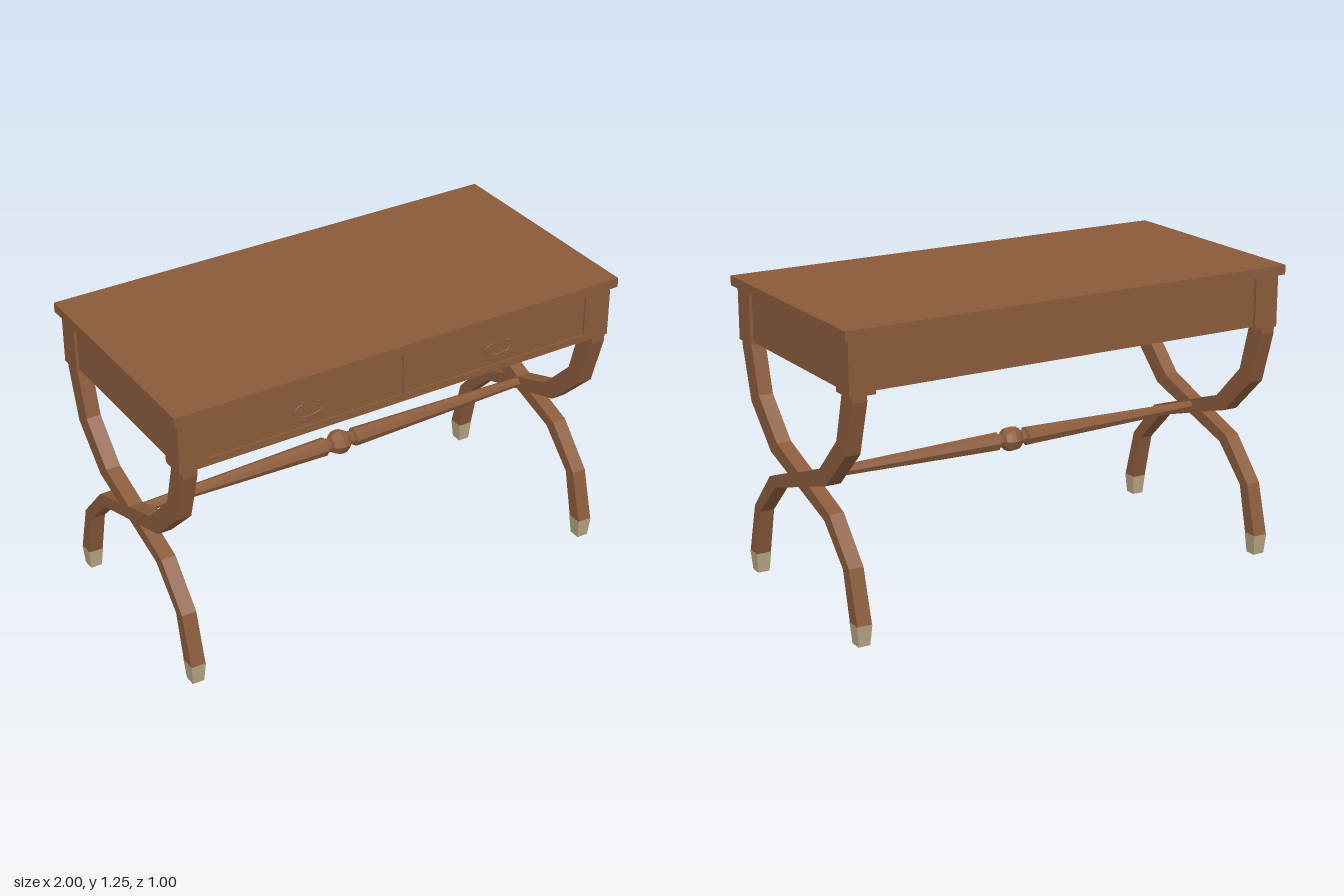
import * as THREE from 'three';

const wood = new THREE.MeshStandardMaterial({ color: 0x8a5a3a, flatShading: true });
const brass = new THREE.MeshStandardMaterial({ color: 0xb5a481, flatShading: true });

export function createModel() {
  const model = new THREE.Group();
  model.name = 'writingTable';

  const add = (name, geometry, material = wood, parent = model) => {
    const mesh = new THREE.Mesh(geometry, material);
    mesh.name = name;
    parent.add(mesh);
    return mesh;
  };
  // Box given by its low and high limits on each axis
  const box = (name, x0, x1, y0, y1, z0, z1) =>
    add(name, new THREE.BoxGeometry(x1 - x0, y1 - y0, z1 - z0))
      .position.set((x0 + x1) / 2, (y0 + y1) / 2, (z0 + z1) / 2);
  const extrude = (shape, depth) =>
    new THREE.ExtrudeGeometry(shape, { depth, bevelEnabled: false, curveSegments: 3 });
  const roundedRect = (path, x0, x1, y0, y1, r) => {
    path.moveTo(x0 + r, y0);
    path.lineTo(x1 - r, y0);
    path.quadraticCurveTo(x1, y0, x1, y0 + r);
    path.lineTo(x1, y1 - r);
    path.quadraticCurveTo(x1, y1, x1 - r, y1);
    path.lineTo(x0 + r, y1);
    path.quadraticCurveTo(x0, y1, x0, y1 - r);
    path.lineTo(x0, y0 + r);
    path.quadraticCurveTo(x0, y0, x0 + r, y0);
    return path;
  };

  // Top and case with recessed side and back panels
  box('tableTop', -1, 1, 1.21, 1.25, -0.5, 0.5);
  box('case', -0.967, 0.967, 1.0, 1.21, -0.467, 0.464);
  for (const s of [-1, 1]) {
    const x0 = s < 0 ? -0.98 : 0.87;
    box('frontPost', x0, x0 + 0.11, 0.99, 1.21, 0.375, 0.462);
    box('backPost', x0, x0 + 0.11, 0.99, 1.21, -0.48, -0.375);
  }

  // Front frame with two drawer openings
  const frame = new THREE.Shape([
    new THREE.Vector2(-0.98, 0.99), new THREE.Vector2(0.98, 0.99),
    new THREE.Vector2(0.98, 1.21), new THREE.Vector2(-0.98, 1.21),
  ]);
  const openings = [[-0.86, -0.006], [0.006, 0.86]];
  for (const [a, b] of openings)
    frame.holes.push(roundedRect(new THREE.Path(), a, b, 1.02, 1.196, 0.008));
  add('frontFrame', extrude(frame, 0.02)).position.z = 0.46;

  // Drawer fronts and drop handles
  for (const [a, b] of openings) {
    const front = roundedRect(new THREE.Shape(), a + 0.003, b - 0.003, 1.023, 1.193, 0.007);
    add('drawerFront', extrude(front, 0.015)).position.z = 0.46;

    const handle = new THREE.Group();
    handle.name = 'drawerHandle';
    handle.position.set((a + b) / 2, 1.097, 0.484);
    model.add(handle);
    const half = [[0.027, 0.033], [0.03, 0.024], [0.045, 0.022], [0.061, 0.005], [0.05, -0.018], [0.025, -0.028]];
    const points = [
      ...half.map(([x, y]) => new THREE.Vector3(-x, y, 0)),
      new THREE.Vector3(0, -0.03, 0),
      ...half.slice().reverse().map(([x, y]) => new THREE.Vector3(x, y, 0)),
    ];
    add('bail', new THREE.TubeGeometry(new THREE.CatmullRomCurve3(points), 36, 0.0035, 6), wood, handle);
    for (const s of [-1, 1]) {
      const pin = add('pin', new THREE.CylinderGeometry(0.004, 0.004, 0.014, 6), wood, handle);
      pin.rotation.x = Math.PI / 2;
      pin.position.set(s * 0.028, 0.026, -0.005);
    }
  }

  // Curved legs crossing at each end, outlined in (z, y)
  const outline = [
    [0.48, 0.99], [0.48, 0.965], [0.415, 0.745], [0.245, 0.58], [-0.22, 0.434], [-0.37, 0.285], [-0.417, 0.085],
    [-0.48, 0.085], [-0.42, 0.3], [-0.265, 0.47], [0.187, 0.63], [0.342, 0.787], [0.397, 0.99],
  ];
  const thickness = 0.062;
  for (const sx of [-1, 1]) {
    for (const sz of [-1, 1]) {
      const shape = new THREE.Shape(outline.map(([z, y]) => new THREE.Vector2(-z * sz, y)));
      const leg = add('crossedLeg', extrude(shape, thickness));
      leg.rotation.y = Math.PI / 2;
      leg.position.x = sx * 0.937 - thickness / 2;

      // Tapered metal foot
      const foot = new THREE.BoxGeometry(0.064, 0.085, 0.065);
      const p = foot.attributes.position;
      for (let i = 0; i < p.count; i++)
        if (p.getY(i) < 0) p.setXYZ(i, p.getX(i) * 0.78, p.getY(i), p.getZ(i) * 0.78);
      add('foot', foot, brass).position.set(sx * 0.937, 0.0425, sz * 0.449);
    }
  }

  // Turned stretcher with a central ball
  const side = [[0.053, 0], [0.05, 0.02], [0.038, 0.038], [0.025, 0.047], [0.03, 0.052], [0.03, 0.06],
    [0.026, 0.063], [0.04, 0.07], [0.02, 0.907], [0, 0.907]];
  const profile = [
    ...side.slice(1).reverse().map(([r, t]) => new THREE.Vector2(r, -t)),
    ...side.map(([r, t]) => new THREE.Vector2(r, t)),
  ];
  const stretcher = add('stretcher', new THREE.LatheGeometry(profile, 8));
  stretcher.rotation.z = Math.PI / 2;
  stretcher.position.y = 0.538;

  return model;
}
